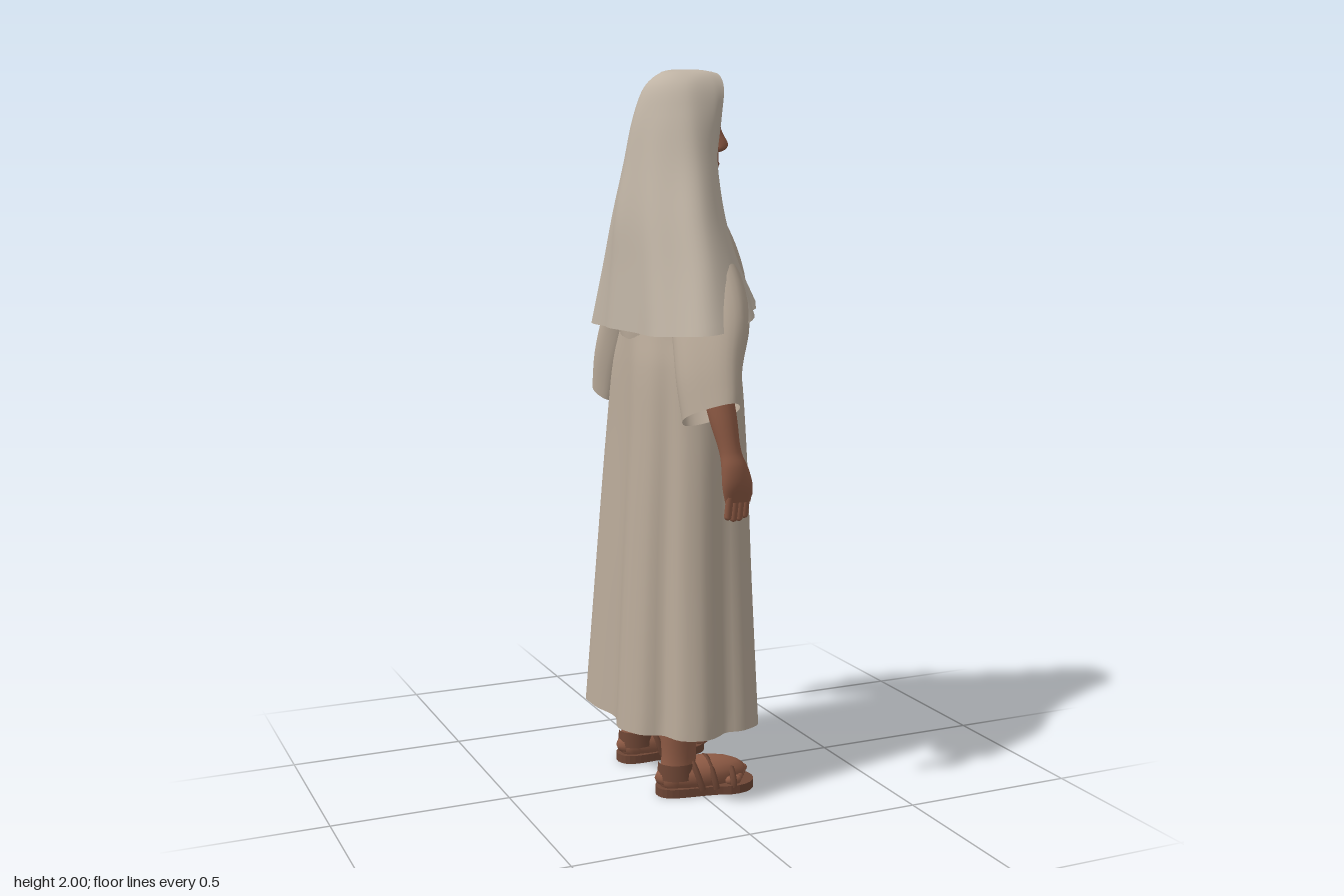
import * as THREE from 'three';
import { mergeVertices } from 'three/addons/utils/BufferGeometryUtils.js';

const V = (x, y, z) => new THREE.Vector3(x, y, z);
const mat = (name, color, side = THREE.FrontSide) => {
  const m = new THREE.MeshStandardMaterial({ color, side });
  m.name = name;
  return m;
};

// Smooth sheet through rows of points, listed from bottom to top
function sheet(rows, steps, closed) {
  const n = rows[0].length, total = (rows.length - 1) * steps, pos = [], idx = [];
  const cols = rows[0].map((_, j) => new THREE.CatmullRomCurve3(rows.map(r => r[j])));
  for (let i = 0; i <= total; i++) for (const c of cols) pos.push(...c.getPoint(i / total).toArray());
  for (let i = 0; i < total; i++) for (let j = 0; j < (closed ? n : n - 1); j++) {
    const a = i * n + j, b = i * n + (j + 1) % n;
    idx.push(a, a + n, b, b, a + n, b + n);
  }
  const raw = new THREE.BufferGeometry();
  raw.setAttribute('position', new THREE.Float32BufferAttribute(pos, 3));
  raw.setIndex(idx);
  const g = mergeVertices(raw, 1e-5);
  g.computeVertexNormals();
  return g;
}

// Horizontal oval from back x to front x, with optional fold depth; power below 1 squares it
const oval = (n, fold, power) => ([y, xb, xf, hw, depth = 0]) =>
  Array.from({ length: n }, (_, k) => {
    const a = k / n * Math.PI * 2, f = depth * fold(a), bow = v => Math.sign(v) * Math.abs(v) ** power;
    return V((xb + xf) / 2 + ((xf - xb) / 2) * bow(Math.cos(a)) + f * Math.cos(a), y,
      hw * bow(Math.sin(a)) + f * Math.sin(a));
  });
const ovals = (list, n = 24, steps = 4, fold = () => 0, power = 1) => sheet(list.map(oval(n, fold, power)), steps, true);

// Limb from tilted rings [x, y, z, radius along x, radius across]; twist brings the outer side forward
const limb = (list, side, tilt, n = 20, ripple = 0, twist = 0) => sheet(list.map(([x, y, z, rx, rp]) =>
  Array.from({ length: n }, (_, k) => {
    const a = k / n * Math.PI * 2, w = 1 + ripple * Math.cos(4 * a), s = Math.sin(a) * rp * w;
    return V(x + Math.cos(a) * rx * w + s * twist * side, y + s * Math.sin(tilt) * side, z * side + s * Math.cos(tilt));
  })), 4, true);

export function createModel() {
  const model = new THREE.Group();
  model.name = 'robedWoman';
  const veilCloth = mat('veil cloth', 0xbfb3a4, THREE.DoubleSide);
  const tunicCloth = mat('tunic cloth', 0xb9aa99, THREE.DoubleSide);
  const skin = mat('skin', 0x8f5b45);
  const darkSkin = mat('lips and eyes', 0x6f4335);
  const hairDark = mat('black hair', 0x1e1c1c);
  const sashBrown = mat('brown sash', 0x695141);
  const leather = mat('sandal leather', 0x6e4635);
  const add = (name, geometry, material, parent = model) => {
    const m = new THREE.Mesh(geometry, material);
    m.name = name;
    parent.add(m);
    return m;
  };
  const blob = (name, material, p, s, parent) => {
    const m = add(name, new THREE.SphereGeometry(1, 16, 10), material, parent);
    m.position.set(...p);
    m.scale.set(...s);
    return m;
  };

  // Long skirt with folds deepening toward the hem
  add('skirt', ovals([
    [0.2, -0.212, 0.196, 0.298, 0.018], [0.6, -0.188, 0.185, 0.266, 0.013],
    [1.0, -0.162, 0.176, 0.236, 0.008], [1.2, -0.15, 0.17, 0.205, 0.004],
    [1.29, -0.14, 0.16, 0.168],
  ], 80, 6, a => Math.cos(7 * a) + 0.25 * Math.cos(15 * a + 1), 0.85), tunicCloth);

  // Bodice
  add('bodice', ovals([
    [1.24, -0.14, 0.16, 0.165], [1.31, -0.145, 0.193, 0.18, 0.003], [1.41, -0.14, 0.2, 0.19, 0.003],
    [1.51, -0.13, 0.172, 0.188, 0.002], [1.6, -0.11, 0.125, 0.17], [1.642, -0.075, 0.092, 0.115],
  ], 64, 5, a => Math.cos(9 * a)), tunicCloth);

  // Belt sunk into the cloth at the back, knot and two hanging tails
  add('belt', ovals([
    [1.228, -0.11, 0.176, 0.18], [1.237, -0.115, 0.19, 0.19], [1.265, -0.115, 0.196, 0.19],
    [1.295, -0.115, 0.195, 0.186], [1.302, -0.11, 0.18, 0.176],
  ], 48, 3, undefined, 0.92), sashBrown);
  blob('sashKnot', sashBrown, [0.172, 1.25, -0.122], [0.03, 0.05, 0.05]);
  const tail = (name, z, top, bottom, width, x, slope) => {
    const h = top - bottom, g = new THREE.BoxGeometry(0.022, h, width, 1, 14, 8), p = g.attributes.position;
    for (let i = 0; i < p.count; i++) {
      const down = 0.5 - p.getY(i) / h, zz = p.getZ(i);
      p.setX(i, p.getX(i) + x + slope * zz + 0.006 * Math.cos(zz / width * 9) + 0.004 * Math.sin(down * 9));
      p.setY(i, p.getY(i) + (top + bottom) / 2 + down * 0.008 * Math.sin(zz * 120));
      p.setZ(i, z + zz * (0.8 + 0.3 * down));
    }
    g.computeVertexNormals();
    add(name, g, sashBrown);
  };
  tail('longSashTail', -0.119, 1.27, 0.585, 0.088, 0.19, 0.25);
  tail('shortSashTail', -0.174, 1.25, 0.73, 0.07, 0.168, 0.5);

  // Veil: half rows from front edge to centre back, mirrored around the back
  const half = [
    [[0.165, 1.375, 0.18], [0.11, 1.345, 0.28], [-0.01, 1.31, 0.362], [-0.11, 1.3, 0.315], [-0.158, 1.295, 0.19], [-0.18, 1.3, 0]],
    [[0.135, 1.48, 0.13], [0.1, 1.47, 0.21], [-0.01, 1.46, 0.3], [-0.09, 1.46, 0.255], [-0.145, 1.46, 0.15], [-0.17, 1.46, 0]],
    [[0.095, 1.6, 0.105], [0.08, 1.6, 0.165], [-0.01, 1.6, 0.236], [-0.08, 1.6, 0.2], [-0.135, 1.6, 0.115], [-0.163, 1.6, 0]],
    [[0.085, 1.74, 0.1], [0.07, 1.74, 0.135], [0, 1.74, 0.174], [-0.06, 1.74, 0.15], [-0.115, 1.74, 0.085], [-0.14, 1.74, 0]],
    [[0.1, 1.87, 0.097], [0.07, 1.87, 0.115], [0, 1.875, 0.126], [-0.05, 1.872, 0.105], [-0.092, 1.87, 0.06], [-0.115, 1.87, 0]],
    [[0.117, 1.95, 0.074], [0.08, 1.953, 0.083], [0.01, 1.955, 0.088], [-0.035, 1.953, 0.072], [-0.068, 1.95, 0.042], [-0.085, 1.948, 0]],
    [[0.118, 1.984, 0.045], [0.08, 1.988, 0.05], [0.03, 1.988, 0.05], [-0.012, 1.986, 0.042], [-0.042, 1.982, 0.024], [-0.058, 1.977, 0]],
    [[0.115, 1.996, 0], [0.08, 2, 0], [0.04, 2, 0], [0.01, 1.999, 0], [-0.015, 1.997, 0], [-0.035, 1.992, 0]],
  ];
  const veilRows = half.map((row, r) => {
    const pts = [...row, ...row.slice(0, -1).reverse().map(([x, y, z]) => [x, y, -z])];
    const depth = 0.05 * Math.max(0, 1 - r / 4);
    return new THREE.CatmullRomCurve3(pts.map(p => V(...p))).getPoints(64).map((p, k) => {
      const w = 1 + depth * Math.cos(k / 64 * Math.PI * 16) * (k > 3 && k < 61 ? 1 : 0);
      return V(p.x * w, p.y, p.z * (1 + (w - 1) * 0.4));
    });
  });
  add('veil', sheet(veilRows, 6, false), veilCloth);

  // Head, neck and hair
  const head = new THREE.Group();
  head.name = 'head';
  model.add(head);
  add('neck', ovals([[1.55, -0.08, 0.1, 0.13], [1.625, -0.06, 0.094, 0.102],
    [1.665, -0.045, 0.082, 0.074], [1.76, -0.04, 0.075, 0.058]]), skin, head);
  add('face', ovals([[1.688, 0.05, 0.1, 0.012], [1.697, 0.01, 0.122, 0.038], [1.73, -0.04, 0.131, 0.061],
    [1.79, -0.07, 0.13, 0.078], [1.86, -0.08, 0.13, 0.083], [1.92, -0.07, 0.119, 0.073],
    [1.96, -0.03, 0.08, 0.03]], 32), skin, head);
  add('nose', ovals([[1.775, 0.11, 0.125, 0.01], [1.785, 0.11, 0.155, 0.02], [1.8, 0.11, 0.165, 0.018],
    [1.83, 0.11, 0.149, 0.011], [1.87, 0.11, 0.133, 0.008]], 14), skin, head);
  add('hair', ovals([[1.69, -0.075, 0.05, 0.08], [1.74, -0.08, 0.072, 0.092], [1.82, -0.09, 0.088, 0.096],
    [1.9, -0.09, 0.108, 0.092], [1.94, -0.075, 0.124, 0.078], [1.97, -0.05, 0.12, 0.05],
    [1.985, 0.0, 0.095, 0.02], [1.988, 0.03, 0.07, 0.002]], 32), hairDark, head);
  blob('hairStrand', hairDark, [0.06, 1.7, -0.088], [0.022, 0.075, 0.014], head);
  blob('lips', darkSkin, [0.126, 1.746, 0], [0.008, 0.009, 0.024], head);

  for (const s of [1, -1]) {
    const side = s > 0 ? 'right' : 'left', tag = n => side + n;
    blob(tag('Eye'), darkSkin, [0.119, 1.843, s * 0.033], [0.005, 0.007, 0.016], head);
    blob(tag('Brow'), darkSkin, [0.118, 1.868, s * 0.035], [0.005, 0.004, 0.021], head).rotation.x = s * 0.12;

    // Wide sleeve, open at the cuff
    add(tag('Sleeve'), limb([[-0.045, 1.097, 0.345, 0.064, 0.076], [-0.035, 1.2, 0.312, 0.078, 0.08],
      [-0.01, 1.31, 0.268, 0.095, 0.085], [0, 1.41, 0.215, 0.095, 0.08], [0, 1.52, 0.15, 0.08, 0.06]],
    s, 0.49, 32, 0.04, 0.35), tunicCloth);

    // Forearm and hand
    add(tag('Arm'), limb([[0.02, 0.865, 0.374, 0.036, 0.017], [0.014, 0.91, 0.384, 0.042, 0.027],
      [0.004, 0.96, 0.387, 0.036, 0.029], [-0.005, 1.0, 0.38, 0.029, 0.028],
      [-0.018, 1.09, 0.36, 0.037, 0.036], [-0.03, 1.2, 0.33, 0.042, 0.04]], s, 0.2), skin);
    for (let k = 0; k < 4; k++) {
      const finger = add(tag('Finger'), new THREE.CapsuleGeometry(0.0105, 0.055, 4, 8), skin);
      finger.position.set(-0.007 + k * 0.018, 0.856 - (k === 1 || k === 2 ? 0.006 : 0), s * (0.376 - k * 0.004));
      finger.rotation.x = s * 0.22;
    }
    const thumb = add(tag('Thumb'), new THREE.CapsuleGeometry(0.012, 0.055, 4, 8), skin);
    thumb.position.set(0.05, 0.912, s * 0.366);
    thumb.rotation.set(s * 0.2, 0, 0.25);

    // Foot in a strapped sandal, turned slightly out
    const foot = new THREE.Group();
    foot.name = tag('Foot');
    foot.position.set(-0.046, 0, s * 0.15);
    foot.rotation.y = -s * 0.1;
    model.add(foot);
    add('ankle', ovals([[0.05, -0.06, 0.05, 0.044], [0.11, -0.053, 0.045, 0.042],
      [0.2, -0.058, 0.05, 0.05], [0.34, -0.06, 0.055, 0.058]]), skin, foot);
    blob('instep', skin, [0.06, 0.05, 0], [0.135, 0.05, 0.052], foot);
    blob('heel', skin, [-0.02, 0.05, 0], [0.045, 0.045, 0.042], foot);
    for (let k = 0; k < 5; k++)
      blob('toe', skin, [0.192 - k * 0.012, 0.034, s * (k * 0.021 - 0.04)], [0.024, 0.015, 0.012], foot);
    const outline = new THREE.Shape();
    outline.moveTo(-0.07, 0);
    outline.bezierCurveTo(-0.07, 0.075, 0.05, 0.035, 0.13, 0.065);
    outline.bezierCurveTo(0.245, 0.08, 0.245, -0.075, 0.13, -0.065);
    outline.bezierCurveTo(0.05, -0.035, -0.07, -0.075, -0.07, 0);
    const sole = new THREE.ExtrudeGeometry(outline, { depth: 0.024, bevelEnabled: false, curveSegments: 12 });
    add('sole', sole.rotateX(-Math.PI / 2), leather, foot);
    const strap = (x, h, w, lean) => {
      const m = add('strap', new THREE.TorusGeometry(1, 0.14, 6, 24, Math.PI), leather, foot);
      m.position.set(x, 0.018, 0);
      m.scale.set(w, h, 0.07);
      m.rotation.set(0, Math.PI / 2, lean, 'ZYX');
    };
    strap(0.14, 0.056, 0.059, 0);
    strap(0.09, 0.076, 0.055, 0.2);
    strap(0.05, 0.088, 0.053, 0.3);
    const heelStrap = add('heelStrap', new THREE.CylinderGeometry(0.054, 0.058, 0.045, 20, 1, true), leather, foot);
    heelStrap.position.set(-0.008, 0.07, 0);
    heelStrap.scale.z = 0.87;
  }
  return model;
}
